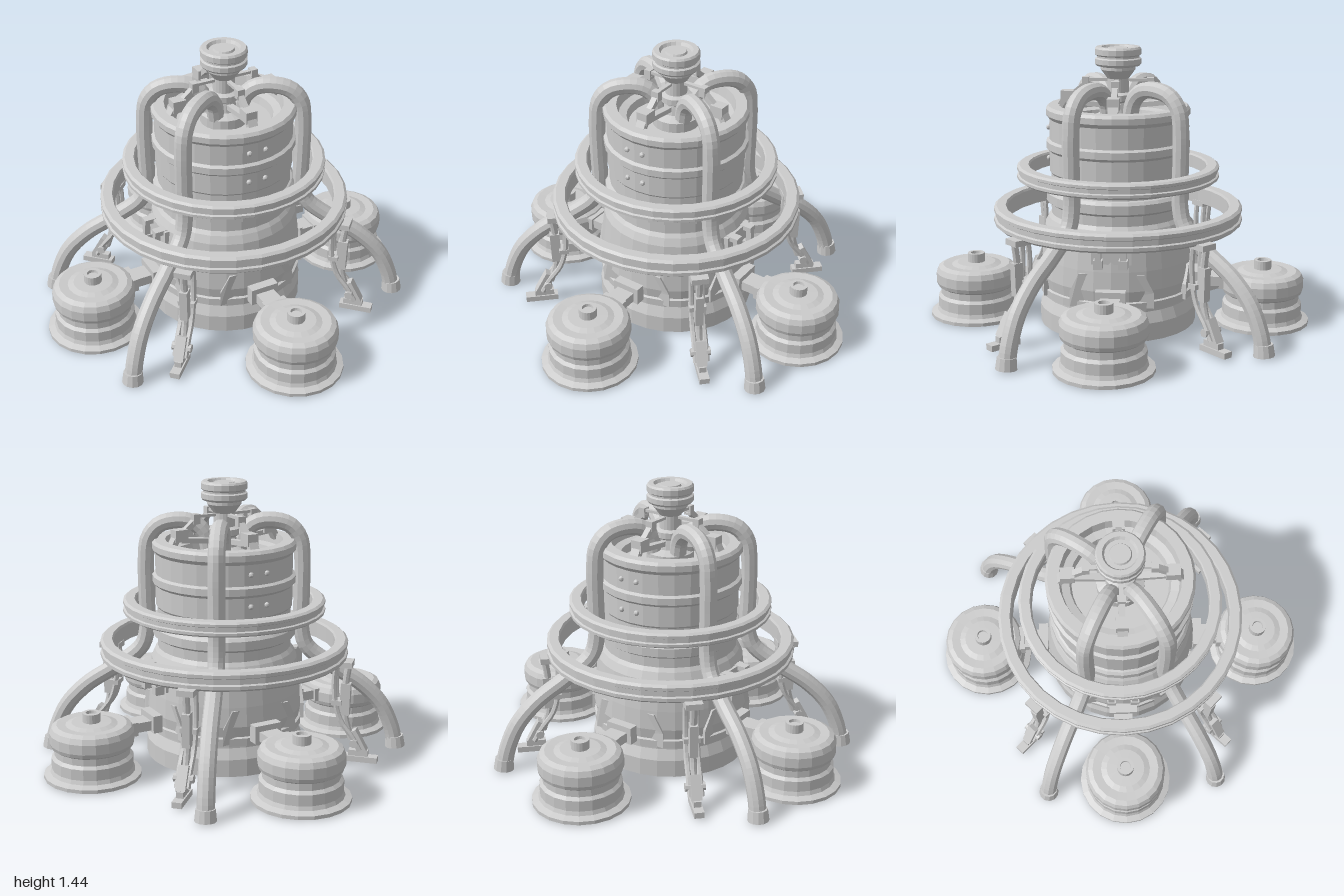
import * as THREE from 'three';

const mat = new THREE.MeshStandardMaterial({ color: 0xcccccc, flatShading: true, side: THREE.DoubleSide });

function add(parent, name, geo, x = 0, y = 0, z = 0) {
  const m = new THREE.Mesh(geo, mat);
  m.name = name;
  m.position.set(x, y, z);
  parent.add(m);
  return m;
}
const lathe = (pts, seg) => new THREE.LatheGeometry(pts.map(p => new THREE.Vector2(...p)), seg);
const box = (w, h, d) => new THREE.BoxGeometry(w, h, d);
const cyl = (a, b, h, s) => new THREE.CylinderGeometry(a, b, h, s);

// tube through [radius, height] points, at sideways offset z
function tube(pts, r, sides, z = 0, steps = 36) {
  const path = new THREE.CatmullRomCurve3(pts.map(([x, y]) => new THREE.Vector3(x, y, z)));
  return new THREE.TubeGeometry(path, steps, r, sides);
}

// straight bar between two [radius, height] points
function bar(parent, name, a, b, h, w, z = 0) {
  const dx = b[0] - a[0], dy = b[1] - a[1];
  const m = add(parent, name, box(Math.hypot(dx, dy), h, w), (a[0] + b[0]) / 2, (a[1] + b[1]) / 2, z);
  m.rotation.z = Math.atan2(dy, dx);
  return m;
}

// group whose local +x points outward at the given angle (0 = +x, 90 = +z)
function spoke(parent, name, deg) {
  const g = new THREE.Group();
  g.name = name;
  g.rotation.y = -THREE.MathUtils.degToRad(deg);
  parent.add(g);
  return g;
}

// trapezoid plate wrapped round the lower body, facing local +x
function bodyPlate() {
  const s = new THREE.Shape();
  [[-0.21, 0.17], [0.21, 0.17], [0.21, 0.25], [0.165, 0.345], [-0.165, 0.345], [-0.21, 0.25]]
    .forEach(([x, y], i) => (i ? s.lineTo(x, y) : s.moveTo(x, y)));
  const g = new THREE.ExtrudeGeometry(s, { depth: 0.06, bevelEnabled: false });
  const p = g.attributes.position;
  for (let i = 0; i < p.count; i++) {
    const a = p.getX(i) / 0.4, r = 0.36 + p.getZ(i) - Math.max(0, p.getY(i) - 0.25) * 0.1;
    p.setXYZ(i, r * Math.cos(a), p.getY(i), -r * Math.sin(a));
  }
  g.computeVertexNormals();
  return g;
}

function addPod(g) {
  add(g, 'podShell', lathe([
    [0.2, 0.02], [0.245, 0], [0.245, 0.018], [0.213, 0.03], [0.205, 0.05], [0.205, 0.105], [0.19, 0.12],
    [0.19, 0.155], [0.205, 0.165], [0.212, 0.185], [0.212, 0.235], [0.2, 0.262], [0.175, 0.275],
    [0.13, 0.272], [0.1, 0.282], [0.045, 0.284], [0.045, 0.33], [0.028, 0.33], [0.026, 0.315], [0, 0.315],
  ], 20), 0.755);
  add(g, 'podInside', lathe([[0.235, 0.002], [0.19, 0.03], [0.185, 0.15], [0.17, 0.2], [0, 0.2]], 20), 0.755);
  // link between pod and body
  add(g, 'podLink', box(0.2, 0.05, 0.1), 0.48, 0.22);
  add(g, 'podLinkCollar', box(0.05, 0.09, 0.15), 0.425, 0.23);
  add(g, 'podLinkCollar', box(0.03, 0.07, 0.13), 0.545, 0.22);
  add(g, 'bodyPlate', bodyPlate());
}

function addPipe(g) {
  add(g, 'pipe', tube([
    [0.08, 1.08], [0.1, 1.16], [0.155, 1.215], [0.24, 1.228], [0.33, 1.205], [0.385, 1.14], [0.4, 1.03],
    [0.4, 0.85], [0.4, 0.66], [0.43, 0.565], [0.56, 0.46], [0.72, 0.355], [0.83, 0.24], [0.89, 0.11], [0.91, 0.02],
  ], 0.043, 10, 0, 60));
  const foot = add(g, 'pipeFoot', cyl(0.047, 0.053, 0.06, 12), 0.912, 0.03);
  foot.rotation.z = 0.1;
}

function addLeg(g) {
  for (const z of [-0.028, 0.028])
    add(g, 'legRail', tube([[0.6, 0.54], [0.59, 0.44], [0.6, 0.31], [0.63, 0.22], [0.69, 0.14], [0.73, 0.07]], 0.014, 6, z, 16));
  add(g, 'legPiston', tube([[0.66, 0.53], [0.645, 0.42], [0.645, 0.24], [0.68, 0.12]], 0.018, 8, 0, 12));
  bar(g, 'legSleeve', [0.648, 0.42], [0.643, 0.25], 0.05, 0.04);
  add(g, 'legClamp', box(0.11, 0.03, 0.085), 0.625, 0.525);
  add(g, 'legTie', box(0.05, 0.025, 0.085), 0.605, 0.32);
  bar(g, 'legKnuckle', [0.69, 0.17], [0.75, 0.06], 0.035, 0.05);
  add(g, 'legHinge', cyl(0.022, 0.022, 0.1, 8), 0.7, 0.11).rotation.x = Math.PI / 2;
  add(g, 'legFoot', box(0.17, 0.03, 0.05), 0.735, 0.02);
  add(g, 'legFootTop', box(0.1, 0.03, 0.036), 0.72, 0.05);
}

// brace tying the head to the rim of the drum
function addBrace(g) {
  bar(g, 'braceRod', [0.04, 1.262], [0.17, 1.262], 0.014, 0.022);
  add(g, 'braceHook', box(0.035, 0.05, 0.04), 0.165, 1.25);
  bar(g, 'braceArm', [0.155, 1.25], [0.25, 1.17], 0.028, 0.03);
  add(g, 'braceBlock', box(0.07, 0.06, 0.06), 0.255, 1.175);
  bar(g, 'braceFoot', [0.27, 1.17], [0.31, 1.1], 0.03, 0.05);
  bar(g, 'braceLower', [0.06, 1.13], [0.25, 1.15], 0.025, 0.035);
}

// paired hook clamps on the sides of the lower body
function addClamp(g) {
  add(g, 'clampPlate', box(0.03, 0.12, 0.2), 0.375, 0.46);
  for (const z of [-0.062, 0.062]) {
    add(g, 'clampBar', box(0.03, 0.12, 0.03), 0.42, 0.46, z);
    add(g, 'clampJaw', box(0.05, 0.045, 0.045), 0.415, 0.41, z);
    add(g, 'clampTop', box(0.07, 0.025, 0.045), 0.4, 0.51, z);
  }
}

export function createModel() {
  const model = new THREE.Group();
  model.name = 'engine';

  // lower bell, banded drum and recessed top in one profile
  add(model, 'body', lathe([
    [0.39, 0], [0.408, 0], [0.408, 0.09], [0.385, 0.145], [0.385, 0.155], [0.402, 0.16], [0.404, 0.2], [0.392, 0.205],
    [0.402, 0.26], [0.396, 0.36], [0.378, 0.52], [0.36, 0.56], [0.345, 0.58], [0.345, 0.63], [0.368, 0.645],
    [0.368, 0.69], [0.355, 0.705], [0.345, 0.71], [0.345, 0.79], [0.352, 0.8], [0.352, 0.905], [0.368, 0.92],
    [0.368, 0.955], [0.352, 0.965], [0.352, 1.07], [0.368, 1.09], [0.368, 1.12], [0.355, 1.135], [0.3, 1.135],
    [0.29, 1.08], [0.25, 1.07], [0.24, 1.03], [0, 1.03],
  ], 28));
  add(model, 'bodyInside', lathe([[0.39, 0], [0.385, 0.1], [0.365, 0.2], [0.3, 0.27], [0, 0.3]], 28));

  // central head with flared cap
  add(model, 'head', lathe([
    [0.12, 1.03], [0.12, 1.08], [0.075, 1.1], [0.065, 1.15], [0.08, 1.16], [0.08, 1.19], [0.055, 1.2], [0.055, 1.27],
    [0.088, 1.315], [0.088, 1.33], [0.11, 1.335], [0.118, 1.345], [0.118, 1.37], [0.108, 1.376], [0.108, 1.385],
    [0.118, 1.392], [0.118, 1.42], [0.11, 1.43], [0.085, 1.43], [0.075, 1.415], [0.055, 1.415], [0.05, 1.425], [0, 1.425],
  ], 20));

  // two grooved hoops
  const hoop = (name, r, w, y, h) => add(model, name, lathe([
    [r, -0.5], [r + w * 0.8, -0.5], [r + w, -0.38], [r + w, -0.2], [r + w * 0.85, -0.14], [r + w * 0.85, 0.14],
    [r + w, 0.2], [r + w, 0.38], [r + w * 0.8, 0.5], [r + w * 0.1, 0.5], [r, 0.38], [r, -0.5],
  ].map(([x, t]) => [x, t * h]), 32), 0, y);
  hoop('lowerHoop', 0.575, 0.067, 0.575, 0.095);
  hoop('upperHoop', 0.455, 0.065, 0.795, 0.075);

  for (let i = 0; i < 4; i++) {
    addPod(spoke(model, 'pod', i * 90));
    addBrace(spoke(model, 'brace', i * 90));
    addLeg(spoke(model, 'leg', 45 + i * 90));
  }
  for (const deg of [30, 147, 207.5, 304.5]) addPipe(spoke(model, 'pipe', deg));
  for (const deg of [0, 180]) addClamp(spoke(model, 'clamp', deg));

  // rivets on front and back of the drum
  for (const s of [-1, 1])
    for (const x of [-0.045, 0.045])
      for (const y of [0.86, 1.02])
        add(model, 'rivet', new THREE.SphereGeometry(0.014, 8, 6), x, y, s * 0.35);

  return model;
}
